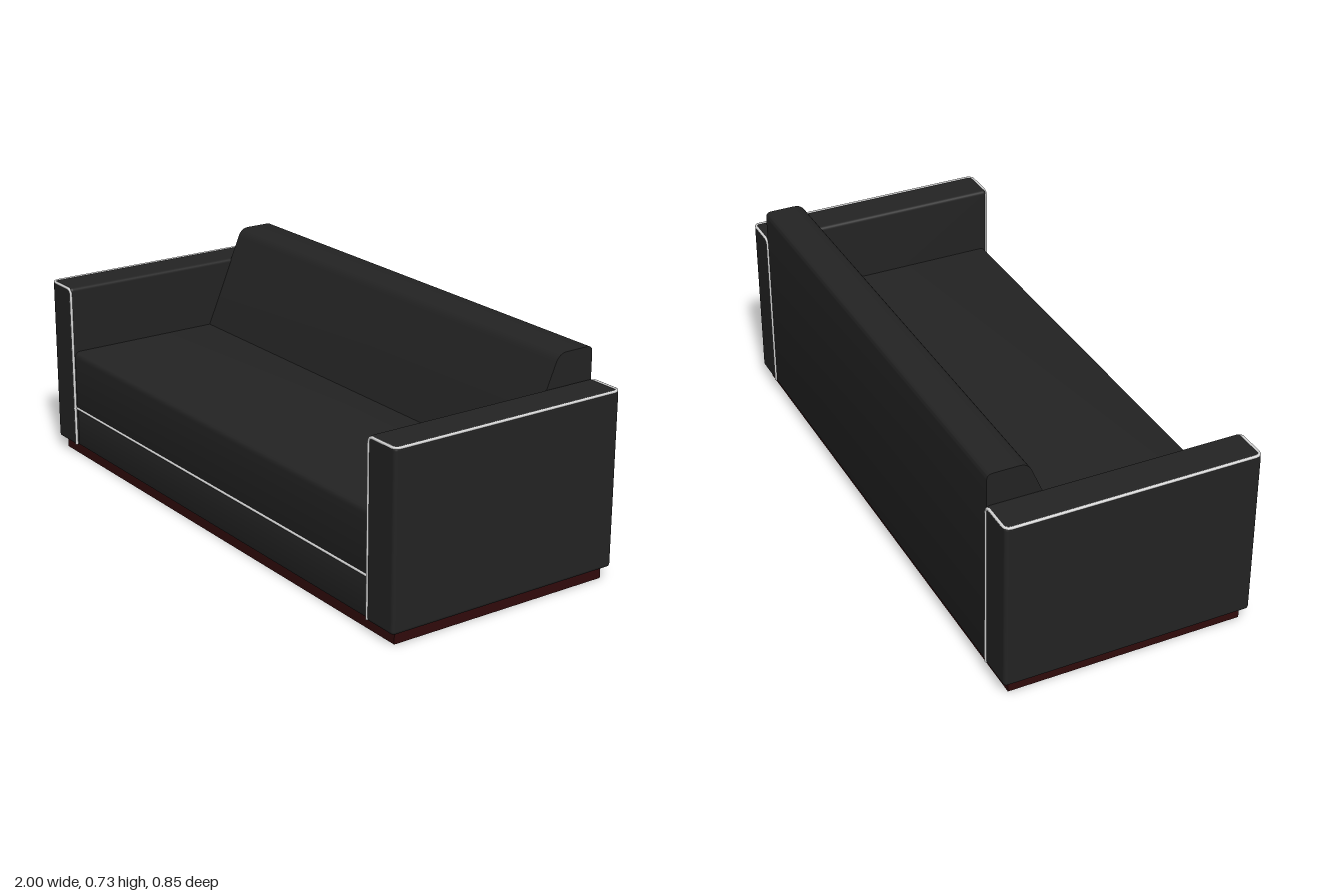
import * as THREE from 'three';
import { toCreasedNormals } from 'three/addons/utils/BufferGeometryUtils.js';
import { RoundedBoxGeometry } from 'three/addons/geometries/RoundedBoxGeometry.js';

const material = (name, color) => {
  const m = new THREE.MeshStandardMaterial({ color });
  m.name = name;
  return m;
};

export function createModel() {
  const leather = material('black leather', 0x232323);
  const wood = material('dark red wood', 0x300a0b);
  const trim = material('light piping', 0xd8d8d8);
  const sofa = new THREE.Group();
  sofa.name = 'sofa';

  const add = (name, geometry, mat, x = 0, y = 0, z = 0) => {
    const mesh = new THREE.Mesh(geometry, mat);
    mesh.name = name;
    mesh.position.set(x, y, z);
    sofa.add(mesh);
    return mesh;
  };

  // Extrudes a [z, y, cornerRadius] side profile across the sofa width
  const acrossWidth = (profile, width) => {
    const shape = new THREE.Shape();
    const n = profile.length;
    profile.forEach(([z, y, r], i) => {
      const corner = new THREE.Vector2(z, y);
      const towards = ([a, b]) => new THREE.Vector2(a, b).sub(corner).setLength(r).add(corner);
      const a = towards(profile[(i + n - 1) % n]);
      const b = towards(profile[(i + 1) % n]);
      if (i === 0) shape.moveTo(a.x, a.y);
      else shape.lineTo(a.x, a.y);
      shape.quadraticCurveTo(z, y, b.x, b.y);
    });
    shape.closePath();
    const g = new THREE.ExtrudeGeometry(shape, { depth: width, bevelEnabled: false, curveSegments: 6 });
    g.translate(0, 0, -width / 2);
    g.rotateY(-Math.PI / 2);
    return toCreasedNormals(g, 0.6);
  };

  // Piping that follows straight runs joined by small rounded corners
  const piping = (points, r = 0.02) => {
    const pts = points.map((p) => new THREE.Vector3(...p));
    const path = new THREE.CurvePath();
    let from = pts[0];
    for (let i = 1; i < pts.length - 1; i++) {
      const a = pts[i - 1].clone().sub(pts[i]).setLength(r).add(pts[i]);
      const b = pts[i + 1].clone().sub(pts[i]).setLength(r).add(pts[i]);
      path.add(new THREE.LineCurve3(from, a));
      path.add(new THREE.QuadraticBezierCurve3(a, pts[i], b));
      from = b;
    }
    path.add(new THREE.LineCurve3(from, pts[pts.length - 1]));
    return new THREE.TubeGeometry(path, 220, 0.005, 8);
  };

  // Hollow wooden plinth
  const [px, pz, rim] = [0.973, 0.4, 0.05];
  const frame = new THREE.Shape();
  frame.moveTo(-px, -pz).lineTo(px, -pz).lineTo(px, pz).lineTo(-px, pz).closePath();
  const hole = new THREE.Path();
  hole.moveTo(-px + rim, -pz + rim).lineTo(-px + rim, pz - rim)
    .lineTo(px - rim, pz - rim).lineTo(px - rim, -pz + rim).closePath();
  frame.holes.push(hole);
  const plinth = new THREE.ExtrudeGeometry(frame, { depth: 0.045, bevelEnabled: false });
  plinth.rotateX(-Math.PI / 2);
  add('plinth', plinth, wood);

  // Seat base, cushion and sloping backrest
  add('seatBase', acrossWidth([[-0.4, 0.04, 0.005], [0.412, 0.04, 0.008], [0.412, 0.18, 0.005], [-0.4, 0.18, 0.005]], 1.738), leather);
  add('seatCushion', acrossWidth([[-0.4, 0.18, 0.005], [0.415, 0.18, 0.006], [0.415, 0.39, 0.022], [-0.4, 0.39, 0.005]], 1.738), leather);
  add('backrest', acrossWidth([[-0.42, 0.04, 0.008], [-0.13, 0.04, 0.005], [-0.13, 0.36, 0.005], [-0.288, 0.728, 0.03], [-0.42, 0.728, 0.02]], 1.738), leather);
  add('seatPiping', piping([[-0.868, 0.18, 0.414], [0, 0.18, 0.414], [0.868, 0.18, 0.414]]), trim);

  // Arms with piping up the inner edges and round the outer top edge
  for (const s of [-1, 1]) {
    const side = s > 0 ? 'left' : 'right';
    add(side + 'Arm', new RoundedBoxGeometry(0.13, 0.582, 0.846, 3, 0.012), leather, s * 0.93, 0.331, 0);
    const [xi, xo, y, z] = [s * 0.869, s * 0.993, 0.619, 0.421];
    add(side + 'ArmPiping', piping([
      [xi, 0.045, z], [xi, y, z], [xo, y, z],
      [xo, y, -z], [xi, y, -z], [xi, 0.045, -z],
    ]), trim);
  }
  return sofa;
}
